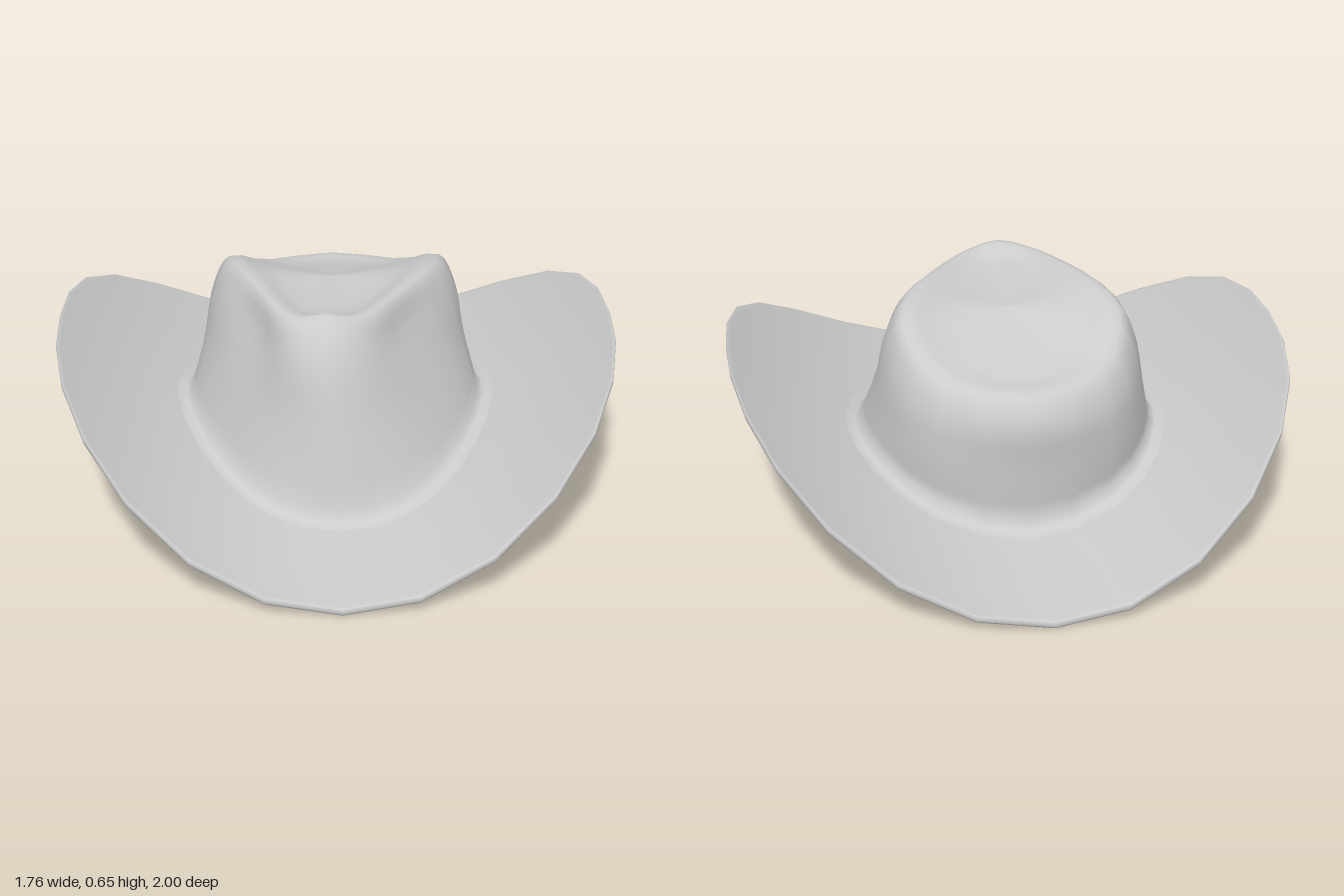
import * as THREE from 'three';

const N = 28; // segments around the hat
const V = (x, y, z) => new THREE.Vector3(x, y, z);

// Half rings of the crown from front to back, [x, y, z], bottom to top
const BASE = [[0, 0, .57], [.2, 0, .51], [.36, 0, .31], [.46, 0, .03], [.44, 0, -.2], [.3, 0, -.42], [0, 0, -.53]];
const MID = [[0, .36, .515], [.17, .36, .43], [.31, .36, .24], [.41, .38, 0], [.42, .36, -.2], [.3, .3, -.43], [0, .28, -.54]];
const SHOULDER = [[0, .56, .45], [.13, .55, .39], [.22, .54, .22], [.355, .57, 0], [.39, .53, -.2], [.29, .43, -.42], [0, .42, -.55]];
const EDGE = [[0, .66, .36], [.1, .64, .34], [.21, .65, .17], [.3, .655, -.02], [.34, .62, -.2], [.25, .52, -.39], [0, .5, -.5]];
const DISH = [[0, .625, .27], [.06, .62, .25], [.13, .62, .12], [.19, .625, -.04], [.22, .595, -.18], [.15, .53, -.32], [0, .51, -.4]];

// Mirror a half ring and sample the closed curve; the front of the crown leans a little to one side
function ring(half) {
  const left = half.slice(1, -1).reverse().map(([x, y, z]) => [-x, y, z]);
  const curve = new THREE.CatmullRomCurve3([...half, ...left].map(p => V(...p)), true);
  return Array.from({ length: N }, (_, i) => {
    const p = curve.getPoint(i / N);
    p.x -= .1 * Math.max(0, p.z) * THREE.MathUtils.clamp((p.y - .2) / .4, 0, 1);
    return p;
  });
}

// Skin over rows of N points
function loft(name, rows) {
  const pos = rows.flat().flatMap(p => [p.x, p.y, p.z]);
  const index = [];
  for (let j = 0; j < rows.length - 1; j++) {
    for (let i = 0; i < N; i++) {
      const k = (i + 1) % N;
      const a = j * N + i, b = j * N + k, c = a + N, d = b + N;
      index.push(a, b, c, b, d, c);
    }
  }
  const geo = new THREE.BufferGeometry();
  geo.setAttribute('position', new THREE.Float32BufferAttribute(pos, 3));
  geo.setIndex(index);
  geo.computeVertexNormals();
  const mesh = new THREE.Mesh(geo, new THREE.MeshStandardMaterial({ color: 0xcccccc, side: THREE.DoubleSide }));
  mesh.name = name;
  return mesh;
}

// Smooth vertical curves through the rings, returned as rows
function smoothRows(rings, steps) {
  const columns = Array.from({ length: N }, (_, i) =>
    new THREE.CatmullRomCurve3(rings.map(r => r[i])).getPoints(steps));
  return Array.from({ length: steps + 1 }, (_, j) => columns.map(c => c[j]));
}

export function createModel() {
  const hat = new THREE.Group();
  hat.name = 'hat';

  const base = ring(BASE);
  const rim = base.map((_, i) => {
    const a = i / N * Math.PI * 2, s = Math.sin(a), c = Math.cos(a), n = 2.4;
    const r = Math.pow(Math.pow(Math.abs(s) / .88, n) + Math.pow(Math.abs(c), n), -1 / n);
    return V(s * r, 0, c * r);
  });

  // Brim row at t (0 = crown, 1 = rim), curling up toward the sides
  const brimRow = (t, lift) => base.map((b, i) => {
    const p = b.clone().lerp(rim[i], t);
    p.y = .62 * p.x * p.x + .005 + .04 * (1 - t) + lift;
    return p;
  });

  // Brim: underside outward, over the rim, top side inward
  const steps = [.12, .3, .5, .7, .88, .97];
  hat.add(loft('brim', [
    brimRow(0, 0), ...steps.map(t => brimRow(t, 0)),
    brimRow(.995, 0), brimRow(1, .006), brimRow(1, .014), brimRow(.995, .02),
    ...steps.slice().reverse().map(t => brimRow(t, .02)),
  ]));

  // Crown: fillet from the brim, pinched sides, dished teardrop top
  const upper = [MID, SHOULDER, EDGE, DISH].map(ring);
  const top = base.map(() => V(-.01, .605, -.06));
  const foot = brimRow(0, .055);
  hat.add(loft('crown', [
    brimRow(.12, .02), brimRow(.05, .026),
    ...smoothRows([foot, ...upper, top], 20),
  ]));

  // Lining: inset copy of the crown, facing inward
  const inset = r => r.map(p => V(p.x * .96, p.y - .02, p.z * .96));
  hat.add(loft('lining', smoothRows([brimRow(0, 0), ...upper.map(inset), inset(top)], 20).reverse()));

  return hat;
}
